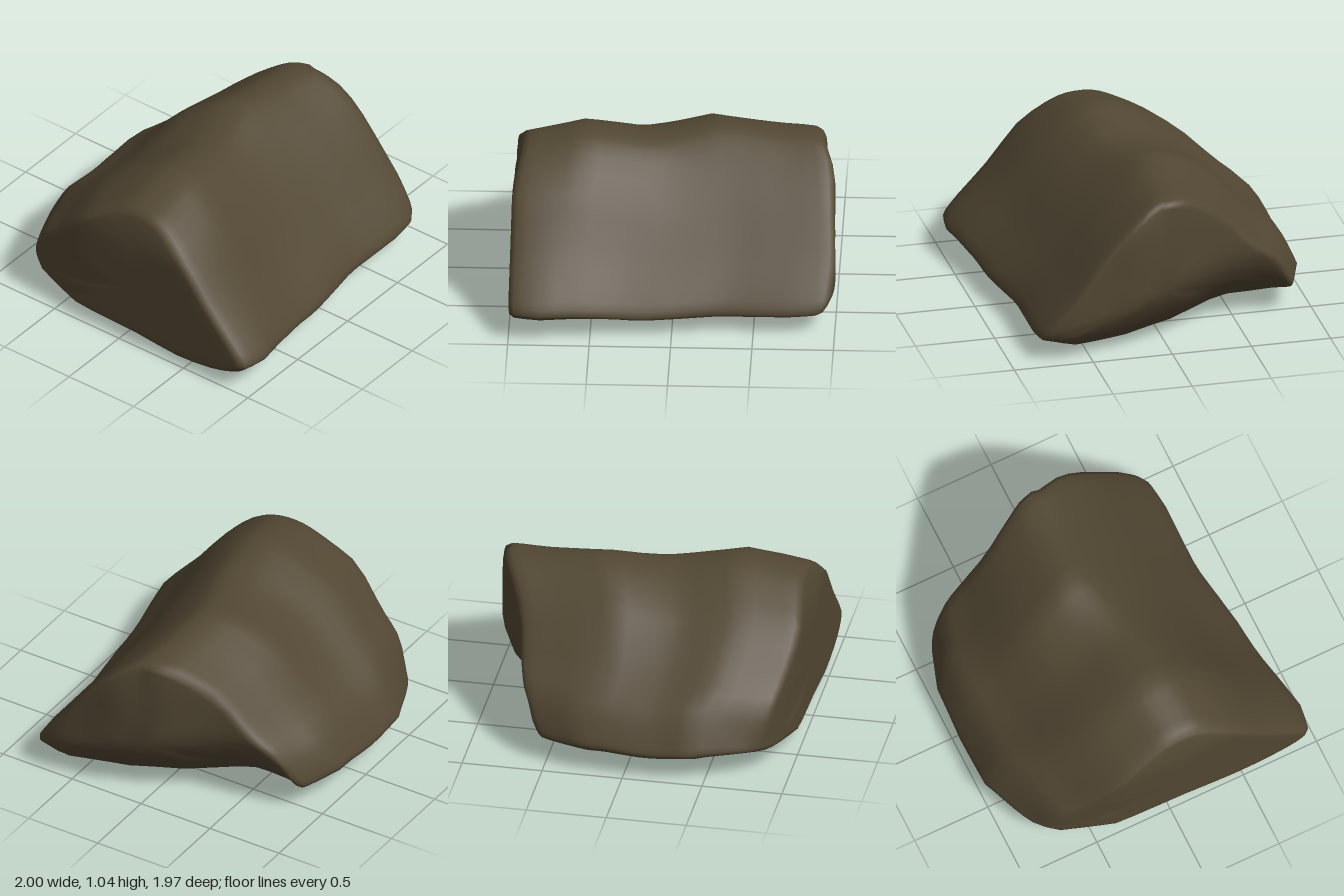
import * as THREE from 'three';
import { mergeVertices } from 'three/addons/utils/BufferGeometryUtils.js';

// Piecewise-linear lookup in a short list of [input, output] pairs
function lookup(table, t) {
  if (t <= table[0][0]) return table[0][1];
  for (let i = 1; i < table.length; i++) {
    const [a, va] = table[i - 1], [b, vb] = table[i];
    if (t <= b) return va + (vb - va) * (t - a) / (b - a);
  }
  return table[table.length - 1][1];
}

// Wedge-shaped cross-section as [z, y]: front lip, ridge, back lip, belly
const PROFILE = [
  [1, 0.2], [0.94, 0.29], [0.73, 0.51], [0.46, 0.81], [0.22, 0.965], [0.09, 1],
  [-0.06, 0.995], [-0.2, 0.94], [-0.43, 0.8], [-0.7, 0.55], [-0.86, 0.43],
  [-0.975, 0.24], [-1, 0.17], [-0.95, 0.13], [-0.65, 0.06], [-0.3, 0.025],
  [0.2, 0.005], [0.6, 0.025], [0.88, 0.09], [0.97, 0.15],
];

// Reach of each edge along the length (-1 to 1)
const FRONT = [[-1, 0.96], [-0.8, 0.985], [-0.35, 0.905], [-0.1, 0.885], [0.1, 0.855], [0.35, 0.815], [0.8, 0.82], [1, 0.8]];
const BACK = [[-1, 0.82], [-0.8, 0.89], [-0.5, 0.98], [0, 0.985], [0.5, 0.97], [0.8, 0.91], [1, 0.87]];
const RIDGE = [[-1, 0.97], [-0.9, 0.985], [-0.6, 1.043], [-0.15, 0.972], [0.05, 0.985], [0.3, 1.027], [0.75, 0.985], [1, 0.98]];
// Forward or backward lean of the ridge
const LEAN = [[-1, 0.07], [-0.6, 0.06], [-0.2, 0.04], [0.3, -0.08], [0.7, -0.06], [1, -0.03]];
// How far the front face sinks, and how far the belly rises
const SINK = [[-1, 0], [-0.7, 0.015], [-0.2, 0.05], [0.3, 0.06], [1, 0.045]];
const LIFT = [[-1, 0.075], [0.2, 0], [0.6, 0], [1, 0.05]];

// Outline of the two ends: x for each z
const END_LOW = [[-1, -0.75], [-0.82, -0.79], [-0.7, -0.88], [-0.35, -0.98], [0.9, -1]];
const END_HIGH = [[-1, 0.78], [-0.78, 0.68], [-0.4, 0.75], [-0.1, 0.91], [0.2, 0.985], [0.4, 0.985], [0.6, 1], [0.8, 0.96]];
// Height below which the +x end curves back, for each z
const UNDERCUT = [[-0.85, 0.5], [-0.5, 0.6], [0.1, 0.45], [0.6, 0.25]];

function rockGeometry() {
  const sides = 48;
  const loop = new THREE.CatmullRomCurve3(
    PROFILE.map(([z, y]) => new THREE.Vector3(0, y, z)), true).getPoints(sides).slice(0, sides);

  // Stations as [position along length, size of ring]: end cap, body, end cap
  const cap = [[1, 0], [1, 0.3], [1, 0.6], [1, 0.8], [1, 0.92], [0.995, 0.965], [0.965, 0.995]];
  const stations = cap.map(([s, k]) => [-s, k]);
  for (let i = -9; i <= 9; i++) stations.push([i / 10, 1]);
  stations.push(...cap.slice().reverse());

  const positions = [], index = [];
  for (const [s, k] of stations) {
    for (const p of loop) {
      let z = p.z * lookup(p.z > 0 ? FRONT : BACK, s) + lookup(LEAN, s) * p.y ** 3;
      let y = p.y * lookup(RIDGE, s);
      // front face sinks, belly rises
      const frontness = THREE.MathUtils.clamp((p.z - 0.1) / 0.35, 0, 1);
      y -= lookup(SINK, s) * frontness * THREE.MathUtils.clamp((p.y - 0.1) / 0.08, 0, 1);
      y += lookup(LIFT, s) * Math.max(0, 1 - p.y / 0.2) * (1 - 0.4 * frontness);
      // shrink towards the middle of the end face
      z = 0.02 + (z - 0.02) * k;
      y = 0.4 + (y - 0.4) * k;
      // shallow weathering
      const bump = 0.006 * Math.sin(5 * s + 4 * z) * Math.sin(6 * y + 3 * z) * k;
      // ends lean in at the top, and the +x end is undercut
      const crown = 0.3 * Math.max(0, y - 0.78);
      const cut = lookup(UNDERCUT, z);
      const low = lookup(END_LOW, z) + crown;
      const high = lookup(END_HIGH, z) - crown * (z > 0 ? 0.6 : 0.2)
        - 0.8 * Math.max(0, cut - y) ** 2 / cut;
      positions.push(low + (high - low) * (s + 1) / 2, Math.max(0, y + bump), z);
    }
  }
  for (let i = 0; i < stations.length - 1; i++) {
    for (let j = 0; j < sides; j++) {
      const a = i * sides + j, c = i * sides + (j + 1) % sides;
      const b = a + sides, d = c + sides;
      index.push(a, b, c, b, d, c);
    }
  }
  const geometry = new THREE.BufferGeometry();
  geometry.setAttribute('position', new THREE.Float32BufferAttribute(positions, 3));
  geometry.setIndex(index);
  const merged = mergeVertices(geometry, 1e-4);
  merged.computeVertexNormals();
  return merged;
}

export function createModel() {
  const stone = new THREE.MeshStandardMaterial({ color: 0x524733 });
  stone.name = 'brown stone';

  const rock = new THREE.Mesh(rockGeometry(), stone);
  rock.name = 'rock';

  const model = new THREE.Group();
  model.name = 'wedgeRock';
  model.add(rock);
  return model;
}
